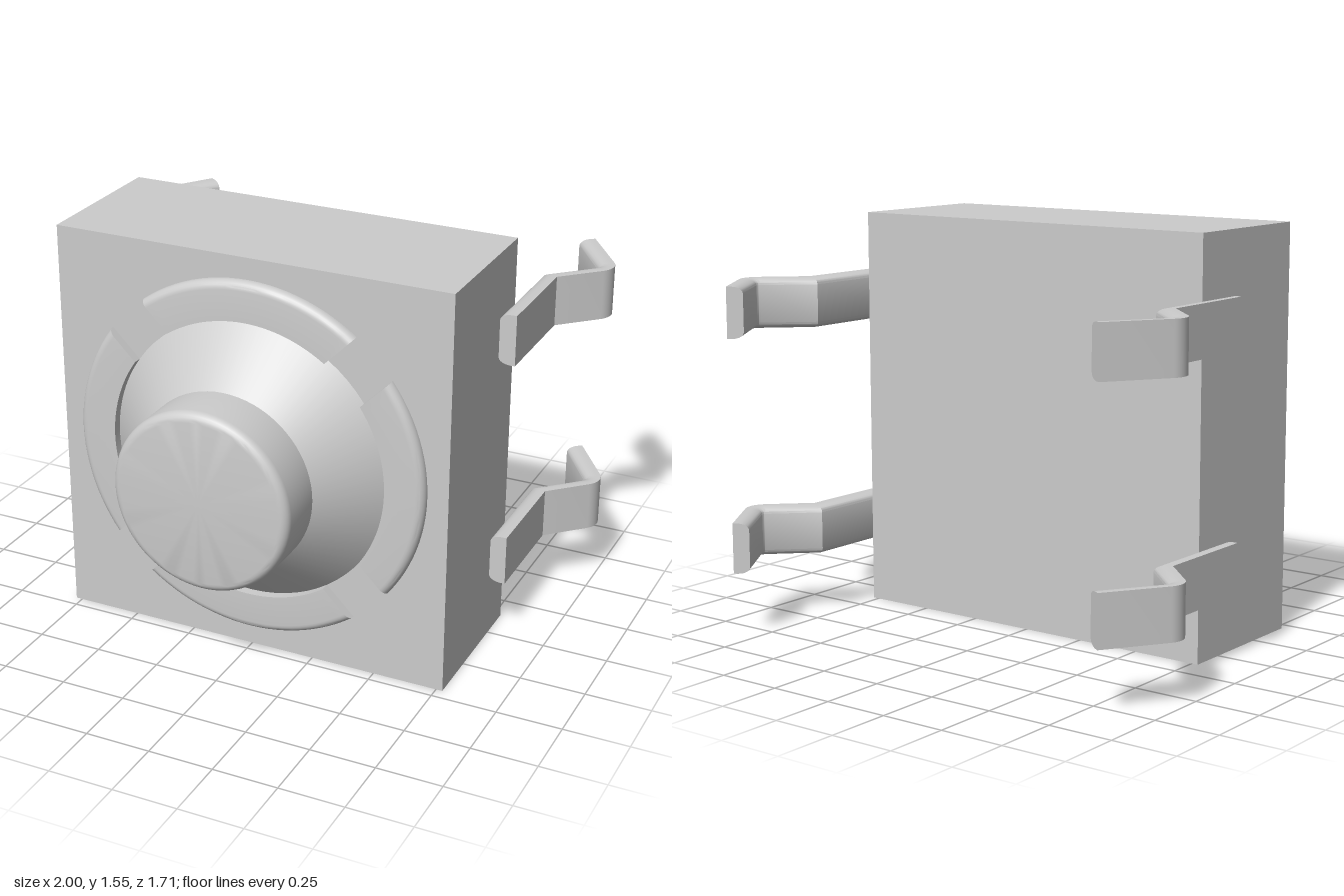
import * as THREE from 'three';
import { toCreasedNormals } from 'three/addons/utils/BufferGeometryUtils.js';

const CENTER_Y = 0.777;

// Skins a list of closed convex cross-sections and caps both ends
function loft(sections) {
  const n = sections[0].length, last = (sections.length - 1) * n, index = [];
  for (let i = 0; i < sections.length - 1; i++) {
    for (let j = 0; j < n; j++) {
      const a = i * n + j, b = i * n + (j + 1) % n;
      index.push(a, b, b + n, a, b + n, a + n);
    }
  }
  for (let j = 1; j < n - 1; j++) {
    index.push(0, j + 1, j, last, last + j, last + j + 1);
  }
  const geometry = new THREE.BufferGeometry();
  geometry.setAttribute('position', new THREE.Float32BufferAttribute(sections.flat(2), 3));
  geometry.setIndex(index);
  return toCreasedNormals(geometry, 0.5);
}

// Button: cone skirt and a plunger with a rounded rim
function buttonGeometry() {
  const points = [[0.545, 0.455], [0.345, 0.655]];
  for (let i = 0; i <= 6; i++) {
    const a = (i / 6) * Math.PI / 2;
    points.push([0.31 + 0.035 * Math.cos(a), 0.82 + 0.035 * Math.sin(a)]);
  }
  points.push([0, 0.855]);
  const lathe = new THREE.LatheGeometry(points.map(p => new THREE.Vector2(...p)), 72);
  return toCreasedNormals(lathe.rotateX(Math.PI / 2), 0.5);
}

// Quarter of the raised ring, its ends cut parallel to the diagonal gaps
function ringGeometry() {
  const profile = [[0.545, 0.455], [0.545, 0.49]];
  for (let i = 0; i <= 6; i++) {
    const a = (i / 6) * Math.PI / 2;
    profile.push([0.663 + 0.032 * Math.sin(a), 0.458 + 0.032 * Math.cos(a)]);
  }
  profile.push([0.695, 0.455]);
  const sections = [];
  for (let k = 0; k <= 24; k++) {
    sections.push(profile.map(([r, z]) => {
      const angle = (k / 12 - 1) * (Math.PI / 4 - Math.asin(0.0975 / r));
      return [r * Math.cos(angle), r * Math.sin(angle), z];
    }));
  }
  return loft(sections);
}

// Bent strip pin; its inward edges are rounded
function pinGeometry() {
  // stations: inner x, z and outer x, z
  const stations = [[0.777, 0.015, 0.84, 0.015], [0.777, -0.433, 0.84, -0.407]];
  for (let i = 0; i <= 10; i++) {
    const a = THREE.MathUtils.degToRad(45 - 7.9 * i);
    const c = Math.cos(a), s = Math.sin(a);
    stations.push([0.922 + 0.015 * c, -0.595 + 0.015 * s, 0.922 + 0.078 * c, -0.595 + 0.078 * s]);
  }
  stations.push([0.788, -0.82, 0.84, -0.855]);

  const h = 0.097, bottom = [];
  for (let i = 0; i <= 5; i++) {
    const a = (i / 5) * Math.PI / 2;
    bottom.push([0.7 * (1 - Math.sin(a)), -h + 0.025 * (1 - Math.cos(a))]);
  }
  const top = bottom.map(([t, y]) => [t, -y]).reverse();
  const profile = [...bottom, ...top, [1, h], [1, -h]];
  return loft(stations.map(([xi, zi, xo, zo]) =>
    profile.map(([t, y]) => [xi + (xo - xi) * t, y, zi + (zo - zi) * t])));
}

export function createModel() {
  const model = new THREE.Group();
  model.name = 'pushSwitch';
  const material = new THREE.MeshStandardMaterial({ color: 0xcccccc });
  const add = (name, geometry, parent = model) => {
    const mesh = new THREE.Mesh(geometry, material);
    mesh.name = name;
    parent.add(mesh);
    return mesh;
  };

  // Housing
  add('housing', new THREE.BoxGeometry(1.55, 1.554, 0.595)).position.set(0, CENTER_Y, 0.1575);

  add('button', buttonGeometry()).position.y = CENTER_Y;

  // Four ring segments around the button
  const ring = ringGeometry();
  for (let i = 0; i < 4; i++) {
    const segment = add('ringSegment', ring);
    segment.position.y = CENTER_Y;
    segment.rotation.z = i * Math.PI / 2;
  }

  // Two pins on each side, the right pair being the left pair turned half round
  const pin = pinGeometry();
  for (const [name, turn] of [['leftPins', 0], ['rightPins', Math.PI]]) {
    const pair = new THREE.Group();
    pair.name = name;
    pair.position.y = CENTER_Y + 0.002;
    pair.rotation.z = turn;
    for (const y of [-0.446, 0.446]) add('pin', pin, pair).position.y = y;
    model.add(pair);
  }
  return model;
}
